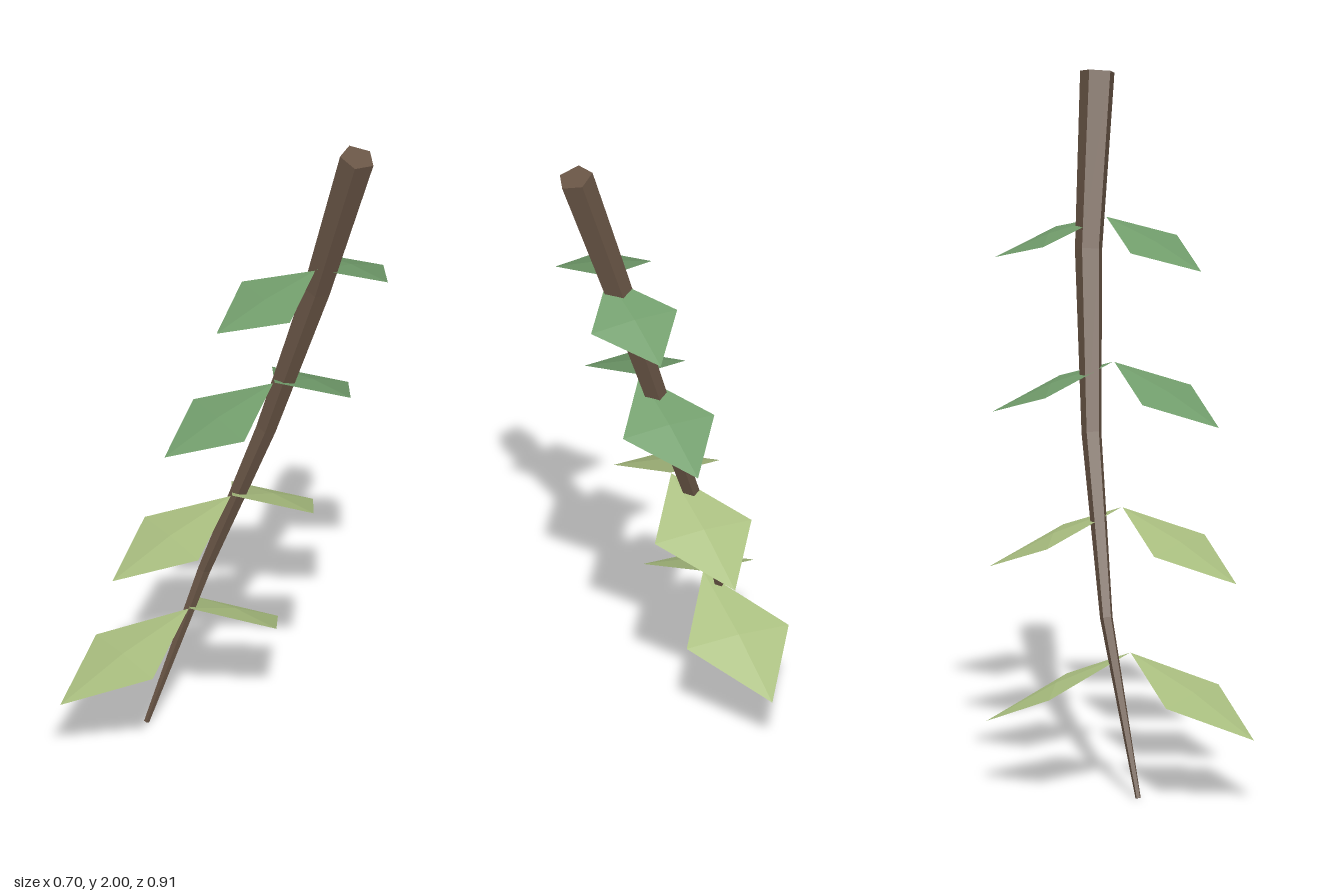
import * as THREE from 'three';

const V = (x, y, z) => new THREE.Vector3(x, y, z);

// Five-sided tapering stem, bent along a gentle curve
function makeStem(material) {
  const path = [
    V(-0.255, 0.003, 0.112), V(-0.157, 0.5, -0.02), V(0, 1, -0.122),
    V(0.152, 1.5, -0.186), V(0.303, 1.987, -0.214),
  ];
  const last = path.length - 1;
  const up = V(0, 1, 0);
  const geometry = new THREE.CylinderGeometry(0.052, 0.008, 1, 5, last, false, 0.78);
  const pos = geometry.attributes.position;
  for (let i = 0; i < pos.count; i++) {
    const k = Math.round((pos.getY(i) + 0.5) * last);
    const tangent = path[Math.min(k + 1, last)].clone().sub(path[Math.max(k - 1, 0)]).normalize();
    const turn = new THREE.Quaternion().setFromUnitVectors(up, tangent);
    const p = V(pos.getX(i), 0, pos.getZ(i)).applyQuaternion(turn).add(path[k]);
    pos.setXYZ(i, p.x, p.y, p.z);
  }
  geometry.computeVertexNormals();
  const stem = new THREE.Mesh(geometry, material);
  stem.name = 'stem';
  return stem;
}

// Thin diamond leaf with a shallow peak above and below
function makeLeaf(base, side, tip, halfThickness, material) {
  const opposite = base.clone().add(tip).sub(side);
  const corners = [base, side, tip, opposite];
  const normal = side.clone().sub(base).cross(tip.clone().sub(base)).normalize();
  if (normal.y < 0) {
    normal.negate();
    corners.reverse();
  }
  const center = base.clone().lerp(tip, 0.5);
  const top = center.clone().addScaledVector(normal, halfThickness);
  const bottom = center.clone().addScaledVector(normal, -halfThickness);
  const points = [];
  corners.forEach((a, i) => {
    const b = corners[(i + 1) % 4];
    points.push(a, b, top, b, a, bottom);
  });
  const geometry = new THREE.BufferGeometry().setFromPoints(points);
  geometry.computeVertexNormals();
  return new THREE.Mesh(geometry, material);
}

export function createModel() {
  const mat = (name, color) => {
    const m = new THREE.MeshStandardMaterial({ color, flatShading: true });
    m.name = name;
    return m;
  };
  const bark = mat('bark brown', 0x6b5747);
  const young = mat('young leaf green', 0xaabf80);
  const mature = mat('mature leaf green', 0x739f6d);

  const model = new THREE.Group();
  model.name = 'leafyBranch';
  model.add(makeStem(bark));

  // Lowest and highest leaf of each row; the others lie evenly between
  const rows = {
    frontLeaf: {
      base: [V(-0.143, 0.4, 0.048), V(0.192, 1.59, -0.148)],
      side: [V(-0.341, 0.29, 0.228), V(0.025, 1.527, -0.013)],
      tip: [V(-0.223, 0.19, 0.452), V(0.131, 1.465, 0.163)],
    },
    backLeaf: {
      base: [V(-0.143, 0.4, 0.046), V(0.192, 1.59, -0.155)],
      side: [V(-0.351, 0.29, -0.124), V(0.018, 1.527, -0.276)],
      tip: [V(-0.242, 0.19, -0.355), V(0.114, 1.465, -0.457)],
    },
  };
  for (const [name, row] of Object.entries(rows)) {
    for (let i = 0; i < 4; i++) {
      const t = i / 3;
      const at = ([a, b]) => a.clone().lerp(b, t);
      const leaf = makeLeaf(at(row.base), at(row.side), at(row.tip),
        0.013 - 0.003 * t, i < 2 ? young : mature);
      leaf.name = name + (i + 1);
      model.add(leaf);
    }
  }
  return model;
}
